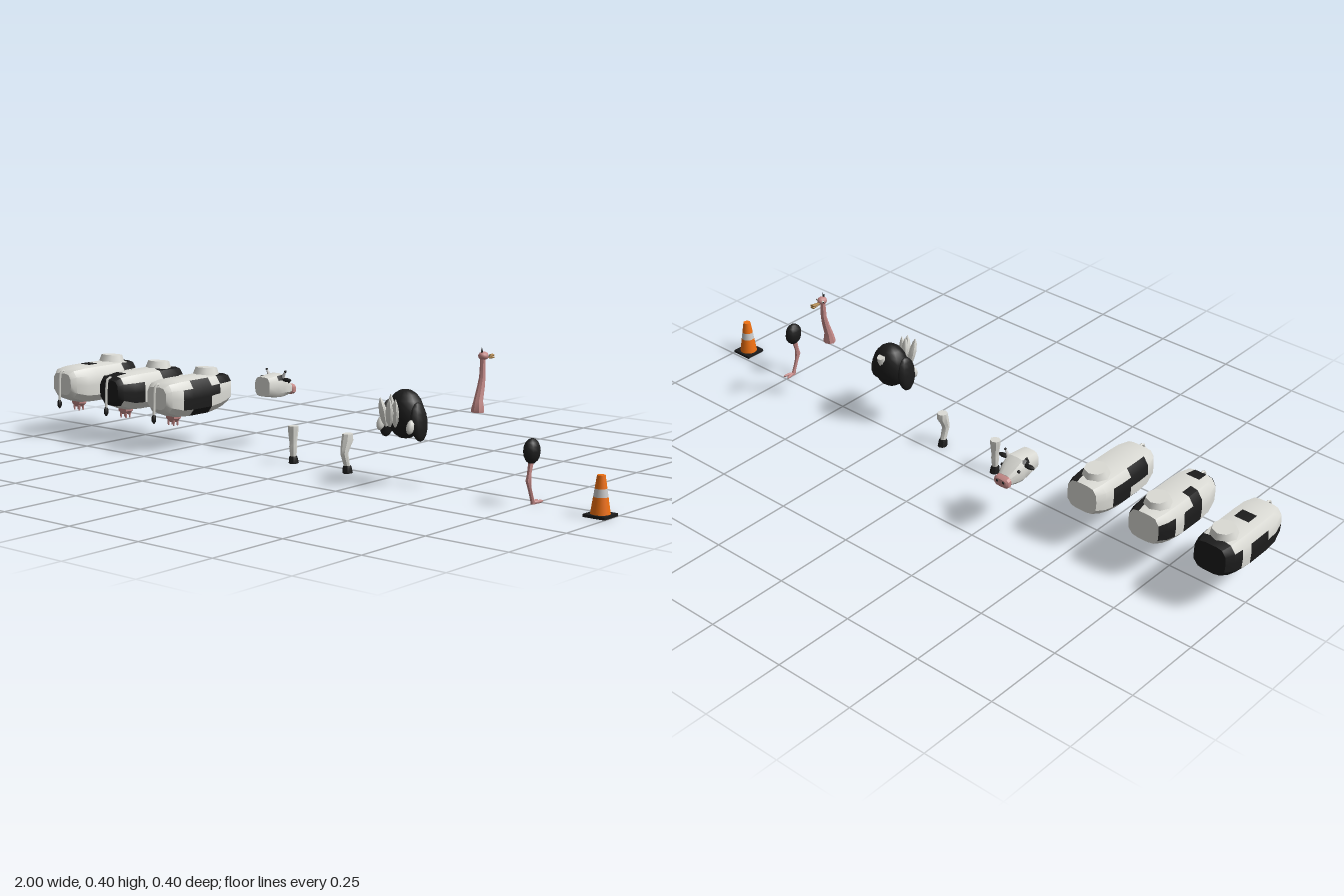
import * as THREE from 'three';
import { toCreasedNormals } from 'three/addons/utils/BufferGeometryUtils.js';

const mat = (color) => new THREE.MeshStandardMaterial({ color, roughness: 0.8 });
const WHITE = mat(0xdcdcd6), BLACK = mat(0x1c1c1c), PINK = mat(0xc58a88), BEAK = mat(0xb08850);
const ORANGE = mat(0xf07010), GREY = mat(0xcccccc);

function add(parent, name, geo, material, x = 0, y = 0, z = 0) {
  const m = new THREE.Mesh(geo, material);
  m.name = name;
  m.position.set(x, y, z);
  parent.add(m);
  return m;
}

// Rings run away from the viewer and wind clockwise; dark(i, j) moves a quad to the second geometry.
function loft(rings, dark = () => false, crease = 0.6) {
  const n = rings[0].length, last = rings.length - 1, parts = [[], []];
  const centre = (r) => r.reduce((s, p) => s.add(p), new THREE.Vector3()).divideScalar(n);
  const c0 = centre(rings[0]), c1 = centre(rings[last]);
  for (let j = 0; j < n; j++) {
    const k = (j + 1) % n;
    parts[+dark(-1, j)].push(c0, rings[0][k], rings[0][j]);
    parts[+dark(last, j)].push(c1, rings[last][j], rings[last][k]);
    for (let i = 0; i < last; i++) {
      const a = rings[i][j], b = rings[i + 1][j], c = rings[i + 1][k], d = rings[i][k];
      parts[+dark(i, j)].push(a, d, c, a, c, b);
    }
  }
  // enlarged while creasing, so that close corners are not welded
  const whole = new THREE.BufferGeometry().setFromPoints([...parts[0], ...parts[1]]).scale(100, 100, 100);
  const geo = toCreasedNormals(whole, crease).scale(0.01, 0.01, 0.01);
  const split = parts[0].length * 3;
  return [[0, split], [split, undefined]].map(([from, to]) => {
    const g = new THREE.BufferGeometry();
    for (const key of ['position', 'normal'])
      g.setAttribute(key, new THREE.BufferAttribute(geo.getAttribute(key).array.slice(from, to), 3));
    return g;
  });
}

// Rounded-box section facing z: half width, top and bottom height
const HALF = [[0, 1], [0.36, 1], [0.72, 0.96], [0.97, 0.76], [1, 0.5], [0.97, 0.22], [0.7, 0.04], [0.32, 0], [0, 0]];
const SECTION = [...HALF, ...HALF.slice(1, 8).reverse().map(([x, t]) => [-x, t])];
const boxRing = ([z, w, top, bottom]) =>
  SECTION.map(([x, t]) => new THREE.Vector3(x * w, bottom + (top - bottom) * t, z));

// Upright limb from top to bottom: [y, z, half width, half depth]
function limb(rows, sides = 8) {
  return loft(rows.map(([y, z, rx, rz]) => Array.from({ length: sides }, (_, i) => {
    const a = (i / sides) * Math.PI * 2;
    return new THREE.Vector3(Math.cos(a) * rx, y, z + Math.sin(a) * rz);
  })))[0];
}

function ball(parent, name, material, pos, radii, w = 12, h = 8) {
  const m = add(parent, name, new THREE.SphereGeometry(1, w, h), material, ...pos);
  m.scale.set(...radii);
  return m;
}

function group(parent, name, x) {
  const g = new THREE.Group();
  g.name = name;
  g.position.x = x;
  parent.add(g);
  return g;
}

const BODY = [[0.18, 0.04, 0.2, 0.132], [0.165, 0.052, 0.212, 0.118], [0.125, 0.062, 0.217, 0.103],
  [0.085, 0.064, 0.218, 0.1], [0.045, 0.064, 0.218, 0.1], [0.005, 0.064, 0.218, 0.1],
  [-0.033, 0.063, 0.218, 0.106], [-0.065, 0.06, 0.216, 0.114], [-0.095, 0.05, 0.212, 0.125]];

// Patches are ranges of body quads: [first z, last z, first round, last round]
function cowBody(parent, x, patches) {
  const g = group(parent, 'cowBody', x);
  const dark = (i, j) => patches.some(([a, b, c, d]) => i >= a && i <= b && j >= c && j <= d);
  const [hide, spots] = loft(BODY.map(boxRing), dark);
  add(g, 'hide', hide, WHITE);
  add(g, 'patches', spots, BLACK);
  // neck socket
  add(g, 'neckSocket', new THREE.CylinderGeometry(0.033, 0.045, 0.035, 8), WHITE, 0, 0.219, -0.035).rotation.x = -0.08;
  // tail
  const curve = new THREE.CatmullRomCurve3([[0.165, 0.205], [0.182, 0.207], [0.189, 0.185], [0.191, 0.15], [0.193, 0.112]]
    .map(([z, y]) => new THREE.Vector3(0, y, z)));
  add(g, 'tail', new THREE.TubeGeometry(curve, 10, 0.004, 6), WHITE);
  add(g, 'tailTuft', limb([[0.119, 0.193, 0.003, 0.003], [0.11, 0.193, 0.007, 0.007], [0.098, 0.193, 0.007, 0.007],
    [0.09, 0.193, 0.002, 0.002]], 6), BLACK);
  // udder
  add(g, 'udder', limb([[0.112, 0.11, 0.024, 0.022], [0.097, 0.11, 0.024, 0.021], [0.086, 0.11, 0.014, 0.013]]), PINK);
  for (const sx of [-1, 1]) for (const sz of [-1, 1])
    add(g, 'teat', new THREE.CylinderGeometry(0.004, 0.0025, 0.017, 6), PINK, sx * 0.011, 0.083, 0.112 + sz * 0.008);
}

function cowHead(parent) {
  const g = group(parent, 'cowHead', -0.305);
  const skull = [[-0.065, 0.03, 0.222, 0.163], [-0.105, 0.032, 0.226, 0.156], [-0.13, 0.035, 0.228, 0.154],
    [-0.155, 0.031, 0.212, 0.157], [-0.178, 0.022, 0.192, 0.161]];
  const [face, spots] = loft(skull.map(boxRing), (i, j) => i === 1 && (j === 2 || j === 13));
  add(g, 'face', face, WHITE);
  add(g, 'facePatches', spots, BLACK);
  const snout = [[-0.173, 0.022, 0.188, 0.161], [-0.178, 0.026, 0.191, 0.157], [-0.19, 0.026, 0.189, 0.158],
    [-0.195, 0.02, 0.185, 0.163]];
  add(g, 'muzzle', loft(snout.map(boxRing))[0], PINK);
  for (const s of [-1, 1]) {
    ball(g, 'nostril', BLACK, [s * 0.011, 0.178, -0.195], [0.004, 0.004, 0.003], 8, 6);
    ball(g, 'eye', BLACK, [s * 0.029, 0.201, -0.151], [0.006, 0.005, 0.005], 8, 6);
    ball(g, 'ear', BLACK, [s * 0.046, 0.211, -0.125], [0.018, 0.006, 0.009], 8, 6);
    add(g, 'horn', new THREE.CylinderGeometry(0.003, 0.006, 0.022, 6), GREY, s * 0.032, 0.226, -0.128).rotation.z = -s * 0.5;
    ball(g, 'hornTip', BLACK, [s * 0.038, 0.236, -0.128], [0.004, 0.004, 0.004], 8, 6);
  }
}

function cowLeg(parent, name, x, rows, hoofZ) {
  const g = group(parent, name, x);
  add(g, 'leg', limb(rows), WHITE);
  add(g, 'hoof', limb([[0.022, hoofZ, 0.011, 0.011], [0.016, hoofZ, 0.013, 0.013], [0, hoofZ - 0.002, 0.014, 0.016]]), BLACK);
}

function ostrichBody(parent) {
  const g = group(parent, 'ostrichBody', 0.332);
  ball(g, 'torso', BLACK, [0, 0.198, 0.045], [0.056, 0.07, 0.05], 14, 10);
  add(g, 'neckSocket', new THREE.CylinderGeometry(0.013, 0.016, 0.024, 8), WHITE, 0, 0.231, 0.008).rotation.x = -0.35;
  for (const s of [-1, 1]) {
    const wing = ball(g, 'wing', BLACK, [s * 0.055, 0.182, 0.055], [0.015, 0.055, 0.034], 10, 8);
    wing.rotation.z = s * 0.12;
    const tip = ball(g, 'wingTip', WHITE, [s * 0.052, 0.172, 0.09], [0.011, 0.021, 0.013], 8, 6);
    tip.rotation.x = -0.4;
  }
  // tail plumes
  const plume = limb([[0.044, 0.004, 0.001, 0.001], [0.028, 0.003, 0.008, 0.006], [0.004, 0, 0.013, 0.009],
    [-0.022, -0.003, 0.01, 0.008], [-0.038, -0.006, 0.003, 0.003]]);
  for (const [x, y, z, lean] of [[-0.02, 0.208, 0.118, 0.15], [0.02, 0.208, 0.118, 0.15], [-0.011, 0.21, 0.132, 0.12],
    [0.011, 0.21, 0.132, 0.12], [0, 0.218, 0.108, 0]]) {
    const m = add(g, 'tailPlume', plume, WHITE, x, y, z);
    m.rotation.set(lean * 0.4, 0, -Math.sign(x) * lean);
  }
}

function ostrichNeck(parent) {
  const g = group(parent, 'ostrichNeckAndHead', 0.542);
  add(g, 'neck', limb([[0.375, -0.026, 0.007, 0.008], [0.345, -0.025, 0.008, 0.008], [0.315, -0.024, 0.009, 0.009],
    [0.285, -0.017, 0.011, 0.011], [0.25, -0.006, 0.013, 0.014], [0.228, -0.004, 0.019, 0.017], [0.22, -0.004, 0.019, 0.017]]), PINK);
  ball(g, 'head', PINK, [0, 0.372, -0.028], [0.014, 0.012, 0.016], 10, 8);
  // two-part beak, flat and widening to the tip
  for (const s of [-1, 1]) {
    const b = add(g, 'beak', new THREE.CylinderGeometry(0.008, 0.005, 0.032, 6), BEAK, 0, 0.367 + s * 0.002, -0.054);
    b.scale.z = 0.4;
    b.rotation.x = -Math.PI / 2 + s * 0.08;
  }
  for (const s of [-1, 1]) {
    ball(g, 'eye', WHITE, [s * 0.011, 0.374, -0.036], [0.004, 0.004, 0.004], 8, 6);
    ball(g, 'pupil', BLACK, [s * 0.0142, 0.374, -0.037], [0.0018, 0.0022, 0.0022], 6, 5);
    add(g, 'crest', new THREE.ConeGeometry(0.0025, 0.016, 5), BLACK, s * 0.002, 0.388, -0.021).rotation.z = -s * 0.15;
  }
}

function ostrichLeg(parent) {
  const g = group(parent, 'ostrichLeg', 0.754);
  ball(g, 'thigh', BLACK, [0, 0.146, 0.044], [0.02, 0.035, 0.03], 10, 8);
  add(g, 'shin', limb([[0.12, 0.046, 0.008, 0.009], [0.085, 0.055, 0.006, 0.007], [0.068, 0.058, 0.008, 0.009],
    [0.045, 0.051, 0.006, 0.006], [0.012, 0.038, 0.006, 0.006], [0.001, 0.034, 0.007, 0.008]], 6), PINK);
  for (const s of [-1, 1]) {
    const toe = ball(g, 'toe', PINK, [s * 0.005, 0.005, 0.018], [0.004, 0.005, 0.02], 8, 6);
    toe.rotation.y = -s * 0.2;
  }
}

function trafficCone(parent) {
  const g = group(parent, 'trafficCone', 0.967);
  add(g, 'base', new THREE.BoxGeometry(0.066, 0.008, 0.066), BLACK, 0, 0.004, 0.04);
  const radius = (y) => 0.027 - (y - 0.008) * 0.155;
  for (const [name, low, high, m] of [['lowerCone', 0.008, 0.053, ORANGE], ['band', 0.053, 0.075, GREY], ['upperCone', 0.075, 0.11, ORANGE]])
    add(g, name, new THREE.CylinderGeometry(radius(high), radius(low), high - low, 16), m, 0, (low + high) / 2, 0.04);
}

export function createModel() {
  const model = new THREE.Group();
  model.name = 'animalPartsSet';
  // three cow bodies with different patches
  cowBody(model, -0.936, [[3, 3, 0, 0], [3, 3, 15, 15], [7, 8, 0, 2], [7, 8, 13, 15], [8, 8, 0, 15], [6, 6, 2, 2],
    [3, 4, 11, 12], [1, 2, 10, 11], [6, 7, 10, 12], [5, 5, 5, 6]]);
  cowBody(model, -0.722, [[-1, 0, 0, 15], [1, 1, 0, 0], [1, 1, 15, 15], [5, 7, 1, 2], [6, 6, 3, 4], [1, 2, 3, 4],
    [3, 3, 13, 14], [3, 4, 11, 12], [6, 7, 11, 12], [4, 5, 6, 7]]);
  cowBody(model, -0.513, [[2, 2, 3, 4], [3, 4, 2, 4], [3, 4, 5, 5], [5, 5, 3, 3], [6, 7, 1, 2], [2, 3, 12, 13],
    [4, 5, 11, 12], [3, 4, 9, 10]]);
  cowHead(model);
  cowLeg(model, 'cowFrontLeg', -0.092, [[0.112, 0.036, 0.016, 0.015], [0.1, 0.036, 0.016, 0.015], [0.06, 0.036, 0.011, 0.011],
    [0.05, 0.036, 0.012, 0.012], [0.018, 0.036, 0.009, 0.009]], 0.036);
  cowLeg(model, 'cowHindLeg', 0.119, [[0.115, 0.04, 0.015, 0.016], [0.095, 0.042, 0.016, 0.019], [0.07, 0.052, 0.012, 0.014],
    [0.058, 0.055, 0.011, 0.012], [0.018, 0.042, 0.009, 0.009]], 0.042);
  ostrichBody(model);
  ostrichNeck(model);
  ostrichLeg(model);
  trafficCone(model);
  return model;
}
